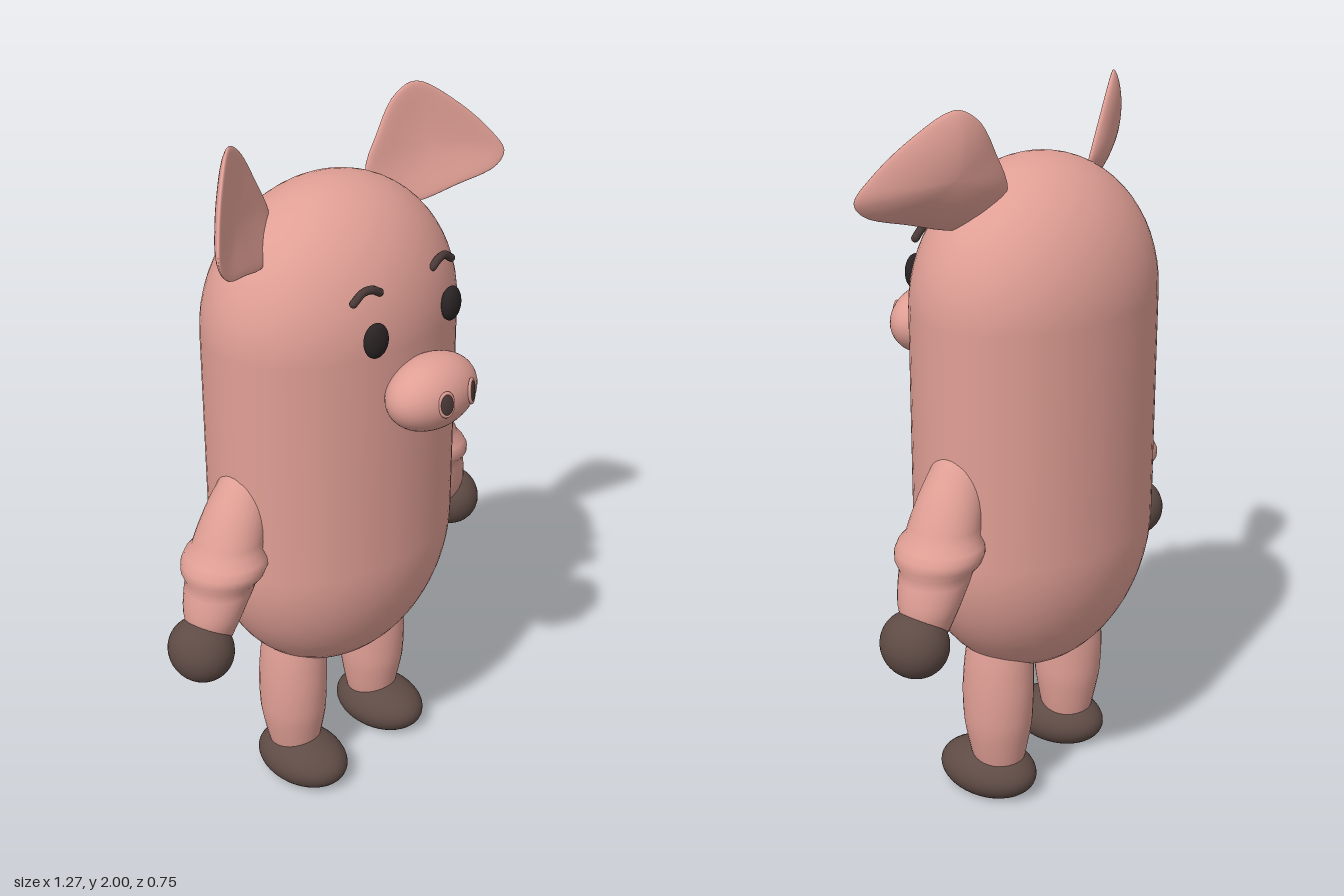
import * as THREE from 'three';
import { mergeVertices } from 'three/addons/utils/BufferGeometryUtils.js';

const mat = (name, color) => {
  const m = new THREE.MeshStandardMaterial({ color });
  m.name = name;
  return m;
};

// Moves every vertex by a rule, mirrors it for the right side and smooths the normals.
function warp(geo, rule, side = 1) {
  geo.deleteAttribute('uv');
  geo.deleteAttribute('normal');
  const g = mergeVertices(geo, 1e-5);
  const p = g.attributes.position;
  const v = new THREE.Vector3();
  for (let i = 0; i < p.count; i++) {
    rule(v.fromBufferAttribute(p, i));
    p.setXYZ(i, v.x * side, v.y, v.z);
  }
  if (side < 0) g.setIndex(Array.from(g.index.array).reverse());
  g.computeVertexNormals();
  return g;
}

// Limb from horizontal elliptical sections: [centre x, y, x radius, z radius], bottom first.
function limb(sections, z, side) {
  const centres = new THREE.CatmullRomCurve3(sections.map(([x, y]) => new THREE.Vector3(x, y, 0)));
  const radii = new THREE.CatmullRomCurve3(sections.map(([, , a, b]) => new THREE.Vector3(a, b, 0)));
  return warp(new THREE.CylinderGeometry(1, 1, 1, 32, 24), (v) => {
    const t = THREE.MathUtils.clamp(v.y + 0.5, 0, 1);
    const c = centres.getPoint(t), r = radii.getPoint(t);
    v.set(c.x + v.x * r.x, c.y, z + v.z * r.y);
  }, side);
}

// Cupped ear: a sphere flattened into a closed outline on a slanted plane.
function ear(side) {
  const outline = new THREE.CatmullRomCurve3([
    [0.56, 1.79], [0.53, 1.85], [0.45, 1.94], [0.36, 2.0], [0.3, 1.97], [0.24, 1.88],
    [0.19, 1.77], [0.23, 1.7], [0.3, 1.685], [0.42, 1.715], [0.53, 1.75],
  ].map(([x, y]) => new THREE.Vector3(x, y, 0)), true);
  const centre = new THREE.Vector3(0.37, 1.83, 0);
  const ball = new THREE.SphereGeometry(1, 48, 32).rotateX(Math.PI / 2);
  return warp(ball, (v) => {
    const k = Math.min(1, Math.hypot(v.x, v.y));
    const turn = (Math.atan2(v.y, v.x) / (2 * Math.PI) + 1) % 1;
    const depth = v.z * 0.025 - 0.035 * (1 - k * k);
    v.copy(centre).lerp(outline.getPoint(turn), k);
    v.z = -0.12 + 0.52 * (v.x - 0.22) - 0.25 * (v.y - 1.8) + depth + 0.015;
  }, side);
}

export function createModel() {
  const model = new THREE.Group();
  model.name = 'pig';
  const skin = mat('pink skin', 0xe09f95);
  const hoof = mat('brown hoof', 0x5f4b45);
  const eyeDark = mat('dark eye', 0x2a2324);
  const browDark = mat('dark brow', 0x4a3a38);
  const Z = -0.075;

  const add = (name, geo, material, x = 0, y = 0, z = 0) => {
    const m = new THREE.Mesh(geo, material);
    m.name = name;
    m.position.set(x, y, z);
    model.add(m);
    return m;
  };
  const ellipsoid = (rx, ry, rz) => new THREE.SphereGeometry(1, 36, 24).scale(rx, ry, rz);

  // Body: a capsule with elliptical ends, flattened front to back
  const profile = [];
  for (let i = 0; i <= 16; i++) {
    const a = (i / 16) * Math.PI / 2;
    profile.push(new THREE.Vector2(0.4 * Math.sin(a), 0.8 - 0.43 * Math.cos(a)));
  }
  for (let i = 0; i <= 16; i++) {
    const a = (i / 16) * Math.PI / 2;
    profile.push(new THREE.Vector2(0.4 * Math.cos(a), 1.45 + 0.385 * Math.sin(a)));
  }
  add('body', new THREE.LatheGeometry(profile, 64).scale(1, 1, 0.75), skin, 0, 0, Z);

  // Snout
  add('snout', ellipsoid(0.15, 0.1, 0.1), skin, 0, 1.325, 0.275);

  for (const s of [1, -1]) {
    const side = s > 0 ? 'left' : 'right';

    // Arm and hand
    add(side + 'Arm', limb([
      [0.5, 0.66, 0.06, 0.06], [0.49, 0.73, 0.08, 0.085], [0.455, 0.82, 0.096, 0.1],
      [0.425, 0.91, 0.096, 0.1], [0.385, 1.0, 0.09, 0.088], [0.345, 1.08, 0.075, 0.07],
      [0.32, 1.14, 0.05, 0.04],
    ], Z, s), skin);
    add(side + 'Hand', ellipsoid(0.087, 0.092, 0.096), hoof, s * 0.547, 0.633, -0.07);

    // Leg and flat-soled foot
    add(side + 'Leg', limb([
      [0.176, 0.06, 0.06, 0.065], [0.178, 0.14, 0.08, 0.082], [0.18, 0.24, 0.095, 0.1],
      [0.18, 0.33, 0.096, 0.104], [0.175, 0.42, 0.096, 0.1], [0.165, 0.52, 0.09, 0.09],
    ], Z, s), skin);
    add(side + 'Foot', warp(ellipsoid(0.109, 0.08, 0.152), (v) => {
      v.y = Math.max(v.y, -0.06);
    }), hoof, s * 0.18, 0.06, -0.04);

    // Ear
    add(side + 'Ear', ear(s), skin);

    // Eye
    const eye = add(side + 'Eye', ellipsoid(0.038, 0.048, 0.023), eyeDark, s * 0.154, 1.505, 0.214);
    eye.rotation.y = s * 0.15;

    // Arched brow with rounded ends
    const arch = new THREE.CatmullRomCurve3([
      [0.108, 1.615, 0.185], [0.135, 1.63, 0.184], [0.165, 1.63, 0.179], [0.198, 1.61, 0.176],
    ].map(([x, y, z]) => new THREE.Vector3(s * x, y, z)));
    add(side + 'Brow', new THREE.TubeGeometry(arch, 20, 0.011, 10), browDark);
    for (const t of [0, 1]) {
      const e = arch.getPoint(t);
      add(side + 'BrowEnd', new THREE.SphereGeometry(0.011, 12, 8), browDark, e.x, e.y, e.z);
    }

    // Nostril with a raised rim
    const nostril = add(side + 'Nostril', ellipsoid(0.02, 0.031, 0.006), browDark, s * 0.053, 1.335, 0.368);
    const rim = add(side + 'NostrilRim', new THREE.TorusGeometry(0.021, 0.004, 8, 28).scale(1, 1.5, 1),
      skin, s * 0.053, 1.335, 0.367);
    nostril.rotation.y = rim.rotation.y = s * 0.35;
    nostril.rotation.x = rim.rotation.x = -0.1;
  }
  return model;
}
